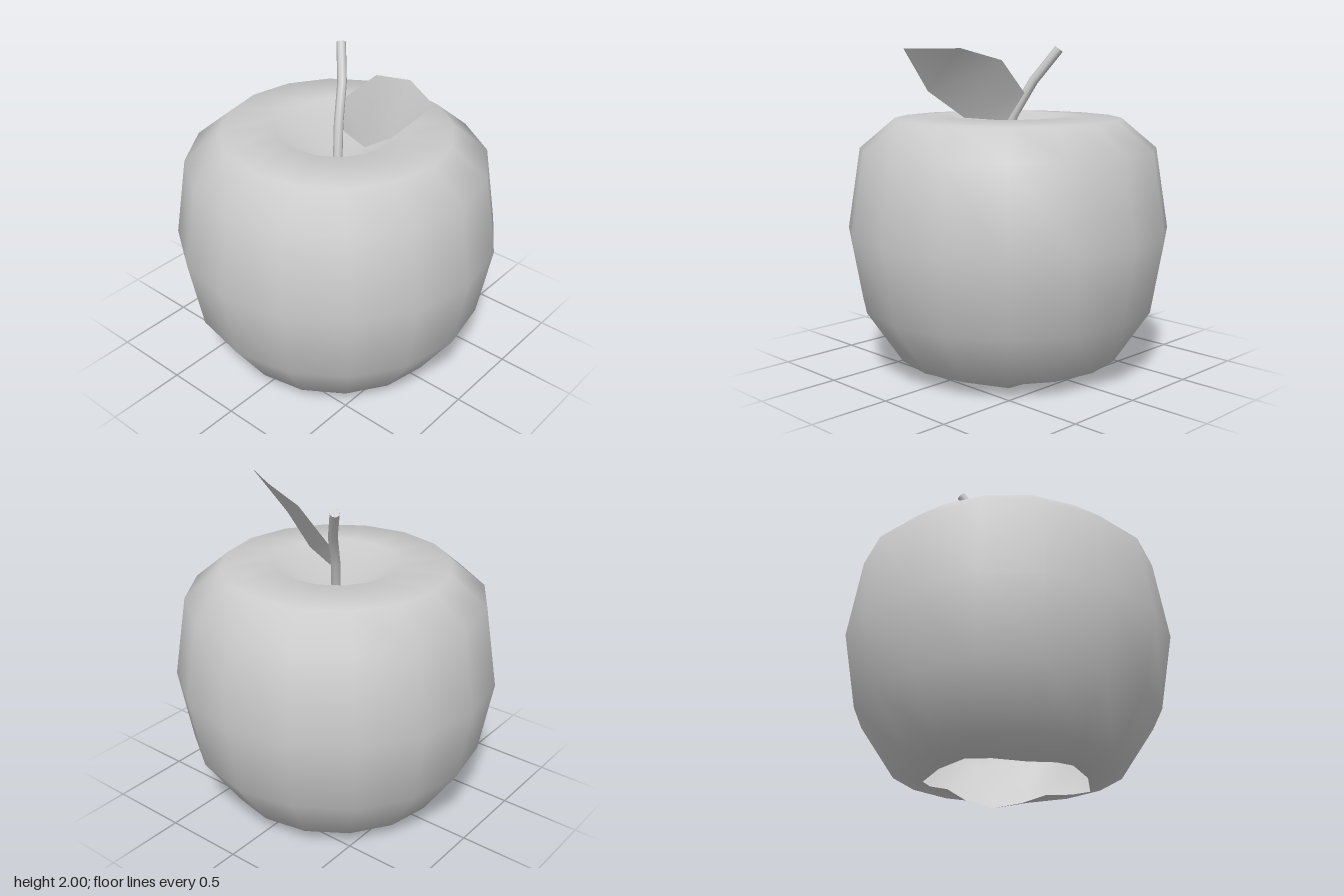
import * as THREE from 'three';
import { mergeVertices } from 'three/addons/utils/BufferGeometryUtils.js';

const material = new THREE.MeshStandardMaterial({ color: 0xcccccc, side: THREE.DoubleSide });
const V = (x, y, z) => new THREE.Vector3(x, y, z);

// Body: 16-sided lathe with a dimpled top and an open, lobed underside
function createBody() {
  const profile = [
    [0.47, 0.03], [0.7, 0.09], [0.92, 0.42], [1, 0.88],
    [0.92, 1.38], [0.7, 1.565], [0.38, 1.58], [0, 1.33],
  ].map(([r, y]) => new THREE.Vector2(r, y));
  let geo = new THREE.LatheGeometry(profile, 16);

  // Push the lowest ring into four lobes
  const pos = geo.attributes.position;
  for (let i = 0; i < pos.count; i++) {
    if (pos.getY(i) > 0.05) continue;
    const a = Math.atan2(pos.getX(i), pos.getZ(i));
    const lobe = Math.cos(4 * a);
    const r = 0.47 - 0.03 * lobe;
    pos.setXYZ(i, r * Math.sin(a), 0.027 + 0.027 * lobe, r * Math.cos(a));
  }

  // Weld the seam and the pole so the shading stays smooth
  geo.deleteAttribute('normal');
  geo.deleteAttribute('uv');
  geo = mergeVertices(geo, 1e-4);
  geo.computeVertexNormals();
  const body = new THREE.Mesh(geo, material);
  body.name = 'fruitBody';
  return body;
}

// Stem: bent tube with closed ends
function createStem() {
  const group = new THREE.Group();
  group.name = 'stem';
  const radius = 0.029;
  const path = new THREE.CatmullRomCurve3([
    V(0.02, 1.34, 0.02), V(-0.015, 1.58, -0.03), V(-0.075, 1.78, -0.13), V(-0.185, 1.985, -0.25),
  ]);
  const tube = new THREE.Mesh(new THREE.TubeGeometry(path, 3, radius, 8), material);
  tube.name = 'stemTube';
  group.add(tube);
  for (const t of [0, 1]) {
    const cap = new THREE.Mesh(new THREE.CircleGeometry(radius, 8), material);
    const out = path.getTangentAt(t).multiplyScalar(t ? 1 : -1);
    cap.position.copy(path.getPointAt(t));
    cap.quaternion.setFromUnitVectors(V(0, 0, 1), out);
    cap.name = t ? 'stemTip' : 'stemBase';
    group.add(cap);
  }
  return group;
}

// Leaf: thin, tilted blade joined from lower and upper edges
function createLeaf() {
  const tip = V(0.75, 1.99, 0.09);
  const lower = [V(0.03, 1.55, -0.02), V(0.285, 1.575, 0.09), V(0.52, 1.74, 0.15), tip];
  const upper = [V(-0.03, 1.72, -0.11), V(0.185, 1.92, -0.13), V(0.465, 1.99, -0.08), tip];
  const points = [];
  for (let i = 0; i < 3; i++) {
    points.push(lower[i], lower[i + 1], upper[i]);
    if (i < 2) points.push(lower[i + 1], upper[i + 1], upper[i]);
  }
  const geo = mergeVertices(new THREE.BufferGeometry().setFromPoints(points));
  geo.computeVertexNormals();
  const leaf = new THREE.Mesh(geo, material);
  leaf.name = 'leaf';
  return leaf;
}

export function createModel() {
  const model = new THREE.Group();
  model.name = 'apple';
  model.add(createBody(), createStem(), createLeaf());
  return model;
}
